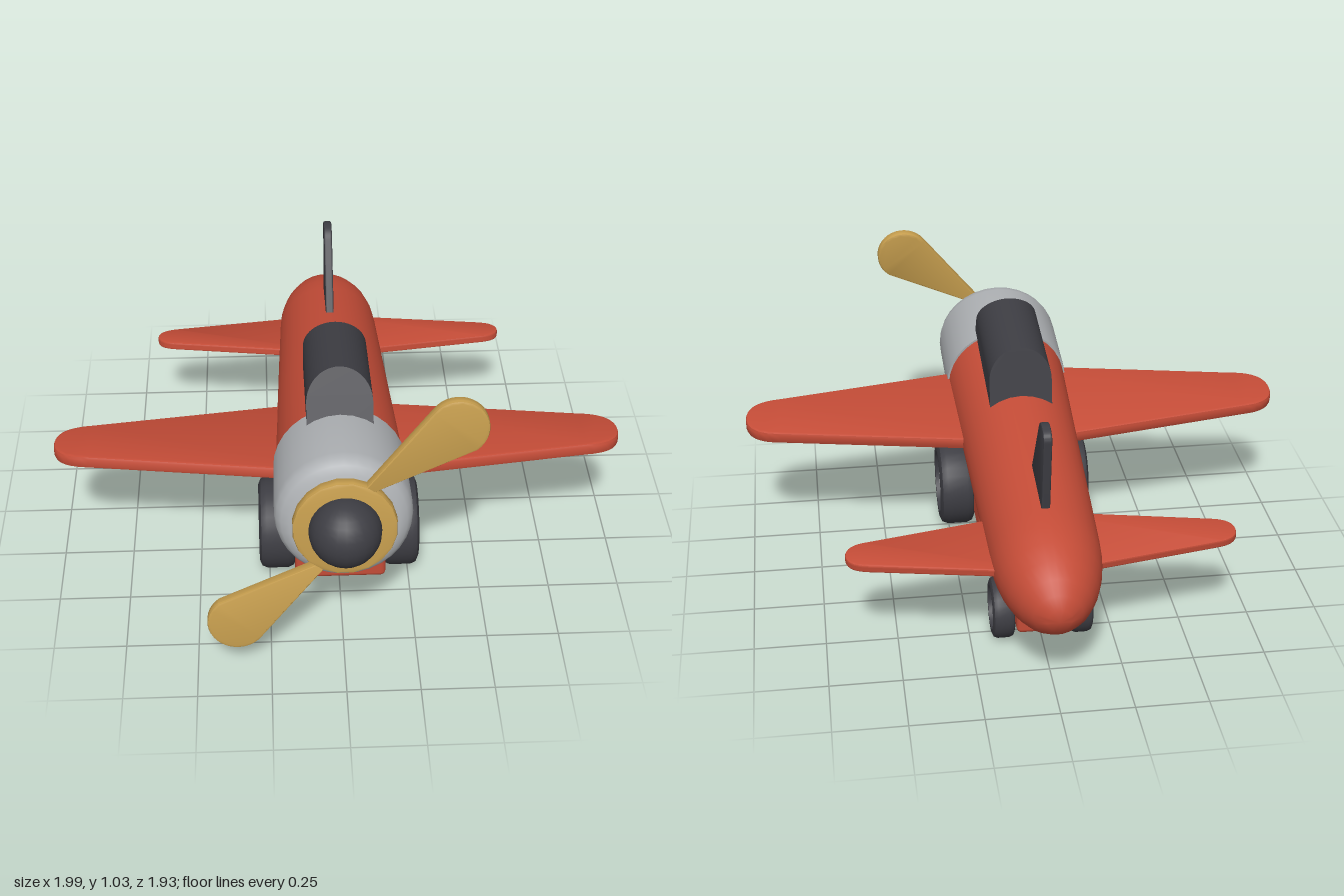
import * as THREE from 'three';
import { toCreasedNormals } from 'three/addons/utils/BufferGeometryUtils.js';
import { RoundedBoxGeometry } from 'three/addons/geometries/RoundedBoxGeometry.js';

const material = (name, color) => {
  const m = new THREE.MeshStandardMaterial({ color });
  m.name = name;
  return m;
};

export function createModel() {
  const red = material('red paint', 0xc44c37);
  const grey = material('grey metal', 0xadb0b3);
  const dark = material('dark rubber', 0x3d3d43);
  const gold = material('golden wood', 0xc49c4d);
  const pale = material('pale hub', 0xd2d2d2);

  const model = new THREE.Group();
  model.name = 'toyPlane';

  // Everything but the undercarriage sits on an axis pitched nose up
  const body = new THREE.Group();
  body.name = 'body';
  body.position.y = 0.461;
  body.rotation.x = -0.131;
  model.add(body);

  const add = (parent, name, geometry, mat, x = 0, y = 0, z = 0) => {
    const mesh = new THREE.Mesh(geometry, mat);
    mesh.name = name;
    mesh.position.set(x, y, z);
    parent.add(mesh);
    return mesh;
  };

  // Solid of revolution along +z from [radius, z] pairs
  const turned = (points, segments = 32) => {
    const g = new THREE.LatheGeometry(points.map(p => new THREE.Vector2(p[0], p[1])), segments);
    return toCreasedNormals(g.rotateX(Math.PI / 2), 0.6);
  };

  // Bevelled plate centred on its own thickness, keeping the given outline
  const plate = (shape, thickness, bevel) => {
    const g = new THREE.ExtrudeGeometry(shape, {
      depth: thickness - 2 * bevel, bevelThickness: bevel, bevelSize: bevel,
      bevelOffset: -bevel, bevelSegments: 2, curveSegments: 10,
    });
    return toCreasedNormals(g.translate(0, 0, bevel - thickness / 2), 0.5);
  };

  // Fuselage with an elliptical tail
  const hull = [];
  for (let i = 0; i <= 7; i++) {
    const a = (i / 7) * Math.PI / 2;
    hull.push([0.189 * Math.sin(a), -0.62 - 0.352 * Math.cos(a)]);
  }
  hull.push([0.208, 0], [0.222, 0.436]);
  add(body, 'fuselage', turned(hull), red);

  // Engine cowling with a rounded front rim
  add(body, 'cowling', turned([
    [0.2, 0.434], [0.229, 0.434], [0.23, 0.735], [0.224, 0.762],
    [0.208, 0.785], [0.182, 0.8], [0, 0.8],
  ]), grey);

  // Wings and tailplanes
  const wing = (side, tip, corner, lead0, lead1, trail0, trail1) => {
    const mid = (lead1 + trail1) / 2;
    const s = new THREE.Shape();
    s.moveTo(0, lead0);
    s.lineTo(side * corner, lead1);
    s.quadraticCurveTo(side * tip, lead1 - 0.012, side * tip, mid);
    s.quadraticCurveTo(side * tip, trail1 + 0.012, side * corner, trail1);
    s.lineTo(0, trail0);
    return s;
  };
  for (const side of [1, -1]) {
    const label = side > 0 ? 'left' : 'right';
    add(body, label + 'Wing',
      plate(wing(side, 0.997, 0.87, 0.513, 0.372, 0, 0.14), 0.045, 0.01).rotateX(Math.PI / 2), red);
    add(body, label + 'Tailplane',
      plate(wing(side, 0.67, 0.595, -0.405, -0.51, -0.737, -0.64), 0.03, 0.007).rotateX(Math.PI / 2), red);
  }

  // Tail fin, drawn with x towards the rear
  const fin = new THREE.Shape();
  fin.moveTo(0.33, 0.1);
  fin.lineTo(0.5, 0.445);
  fin.quadraticCurveTo(0.518, 0.485, 0.56, 0.486);
  fin.quadraticCurveTo(0.615, 0.487, 0.615, 0.45);
  fin.lineTo(0.615, 0.1);
  add(body, 'tailFin', plate(fin, 0.03, 0.006).rotateY(Math.PI / 2), dark);

  // Canopy: arched section with raked ends
  const arch = new THREE.Shape();
  arch.moveTo(-0.113, 0.1);
  arch.lineTo(0.113, 0.1);
  arch.lineTo(0.113, 0.265);
  arch.absarc(0, 0.265, 0.113, 0, Math.PI, false);
  const canopy = new THREE.ExtrudeGeometry(arch, { depth: 1, bevelEnabled: false, curveSegments: 14 });
  const cp = canopy.attributes.position;
  for (let i = 0; i < cp.count; i++) {
    const h = cp.getY(i) - 0.19;
    const front = 0.503 - 0.437 * h, back = 0.014 + 0.34 * h;
    cp.setZ(i, THREE.MathUtils.lerp(back, front, cp.getZ(i)));
  }
  canopy.computeVertexNormals();
  add(body, 'canopy', toCreasedNormals(canopy, 0.5), dark);

  // Propeller and spinner
  const propeller = new THREE.Group();
  propeller.name = 'propeller';
  propeller.position.z = 0.82;
  propeller.rotation.z = Math.PI / 4;
  body.add(propeller);
  const disc = new THREE.Shape();
  disc.absarc(0, 0, 0.173, 0, Math.PI * 2, false);
  add(propeller, 'propellerDisc', plate(disc, 0.044, 0.008), gold);
  const blade = new THREE.Shape();
  blade.moveTo(0.1, -0.053);
  blade.absarc(0.51, 0, 0.1, -1.7, 1.7, false);
  blade.lineTo(0.1, 0.053);
  for (const turn of [0, Math.PI]) {
    add(propeller, 'blade', plate(blade, 0.04, 0.008), gold).rotation.z = turn;
  }
  add(body, 'spinner', new THREE.SphereGeometry(0.12, 24, 16), dark, 0, 0, 0.85);

  // Undercarriage boxes
  add(model, 'mainGearBox', new RoundedBoxGeometry(0.32, 0.33, 0.546, 2, 0.018), red, 0, 0.257, 0.258);
  add(model, 'tailGearBox', new RoundedBoxGeometry(0.2, 0.2, 0.274, 2, 0.018), red, 0, 0.188, -0.522);

  // Wheels: rounded tyre with a recessed hub on the outer side
  const wheel = (name, side, radius, hubRadius, inner, outer, z) => {
    const w = new THREE.Group();
    w.name = name;
    w.position.set(side * inner, radius, z);
    w.rotation.y = side * Math.PI / 2;
    model.add(w);
    const t = outer - inner, r = radius, b = 0.17 * r;
    add(w, 'tyre', turned([
      [0, 0], [r - b, 0], [r - 0.3 * b, 0.3 * b], [r, b],
      [r, t - b], [r - 0.3 * b, t - 0.3 * b], [r - b, t],
      [hubRadius, t], [hubRadius, t - 0.03],
    ]), dark);
    const hub = new THREE.CylinderGeometry(hubRadius, hubRadius, 0.03, 32).rotateX(Math.PI / 2);
    add(w, 'hub', hub, pale, 0, 0, t - 0.03);
  };
  for (const side of [1, -1]) {
    const label = side > 0 ? 'left' : 'right';
    wheel(label + 'MainWheel', side, 0.166, 0.118, 0.155, 0.285, 0.3);
    wheel(label + 'TailWheel', side, 0.108, 0.077, 0.098, 0.175, -0.51);
  }
  return model;
}
